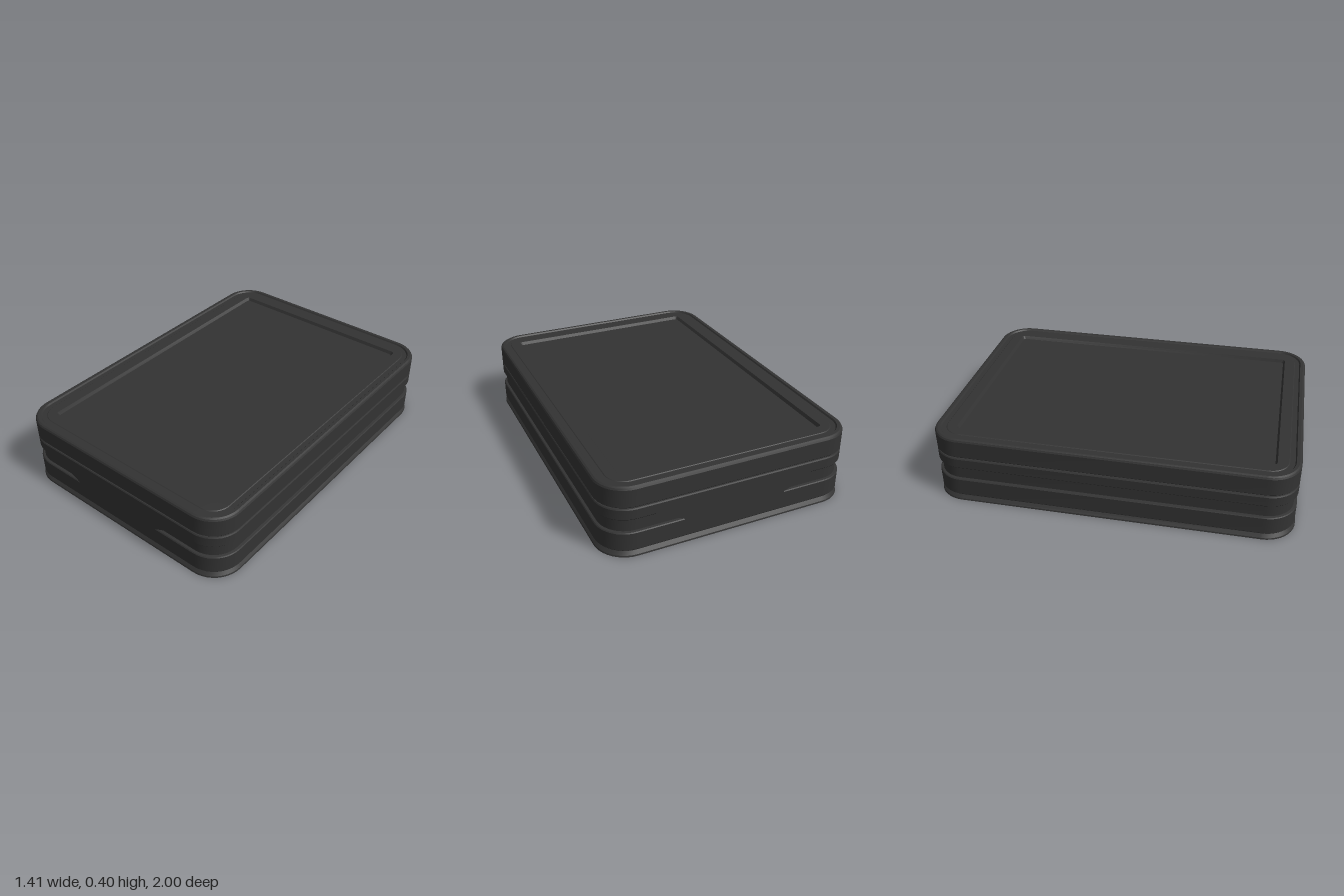
import * as THREE from 'three';
import { toCreasedNormals } from 'three/addons/utils/BufferGeometryUtils.js';

const HX = 0.707, HZ = 1.0, RADIUS = 0.17, ARC = 10;

// Closed rounded-rectangle ring, inset by d. With a notch, the sides and corners
// sit at d while the middle of the front and back (|x| < e) stays at dMid.
function ring({ y, d, r = Math.max(RADIUS - d, 0.02), e = 0.285, dMid = d }) {
  const quarter = [[e, HZ - dMid], [e + (d - dMid) * 0.6, HZ - d]];
  for (let i = 0; i <= ARC; i++) {
    const a = (i / ARC) * Math.PI / 2;
    quarter.push([HX - d - r + r * Math.sin(a), HZ - d - r + r * Math.cos(a)]);
  }
  const half = [...quarter, ...quarter.map(([x, z]) => [x, -z]).reverse()];
  return [...half, ...half.map(([x, z]) => [-x, -z])].map(([x, z]) => new THREE.Vector3(x, y, z));
}

// Skin between successive rings, from bottom to top
function loft(rows) {
  const rings = rows.map(ring);
  const n = rings[0].length;
  const index = [];
  for (let j = 0; j < rings.length - 1; j++) {
    for (let i = 0; i < n; i++) {
      const a = j * n + i, b = j * n + (i + 1) % n;
      index.push(a, b, b + n, a, b + n, a + n);
    }
  }
  const geometry = new THREE.BufferGeometry().setFromPoints(rings.flat());
  geometry.setIndex(index);
  return toCreasedNormals(geometry, Math.PI / 7);
}

export function createModel() {
  const group = new THREE.Group();
  const material = new THREE.MeshStandardMaterial({ color: 0x333333, side: THREE.DoubleSide });
  const add = (name, geometry) => {
    const mesh = new THREE.Mesh(geometry, material);
    mesh.name = name;
    group.add(mesh);
  };

  // Flared foot
  add('baseFlange', loft([
    { y: 0, d: 0 },
    { y: 0.008, d: 0.002 },
    { y: 0.026, d: 0.017 },
    { y: 0.034, d: 0.018 },
  ]));

  // Body wall with the grip channel that ends in slants on front and back
  const out = 0.004, deep = 0.021;
  add('body', loft([
    { y: 0.034, d: 0.018 },
    { y: 0.035, d: 0.008 },
    { y: 0.040, d: out },
    { y: 0.135, d: out },
    { y: 0.140, d: 0.008, e: 0.285, dMid: out },
    { y: 0.142, d: deep, e: 0.29, dMid: out },
    { y: 0.213, d: deep, e: 0.435, dMid: out },
    { y: 0.215, d: 0.008, e: 0.44, dMid: out },
    { y: 0.220, d: out, e: 0.445 },
    { y: 0.272, d: out },
    { y: 0.278, d: 0.008 },
    { y: 0.279, d: 0.016 },
    { y: 0.284, d: 0.016 },
  ]));

  // Lid skirt, raised rim and stepped border down to the recess
  const floorRow = { y: 0.378, d: 0.14, r: 0.015 };
  add('lid', loft([
    { y: 0.284, d: 0.016 },
    { y: 0.285, d: 0.008 },
    { y: 0.290, d: out },
    { y: 0.386, d: out },
    { y: 0.395, d: 0.009 },
    { y: 0.400, d: 0.018 },
    { y: 0.400, d: 0.034 },
    { y: 0.392, d: 0.040 },
    { y: 0.392, d: 0.067 },
    { y: 0.395, d: 0.071 },
    { y: 0.395, d: 0.130, r: 0.02 },
    floorRow,
  ]));

  // Sunken top panel
  const outline = ring(floorRow).map((p) => new THREE.Vector2(p.x, -p.z));
  const panel = new THREE.ShapeGeometry(new THREE.Shape(outline));
  panel.rotateX(-Math.PI / 2).translate(0, floorRow.y, 0);
  add('topPanel', panel);

  return group;
}
